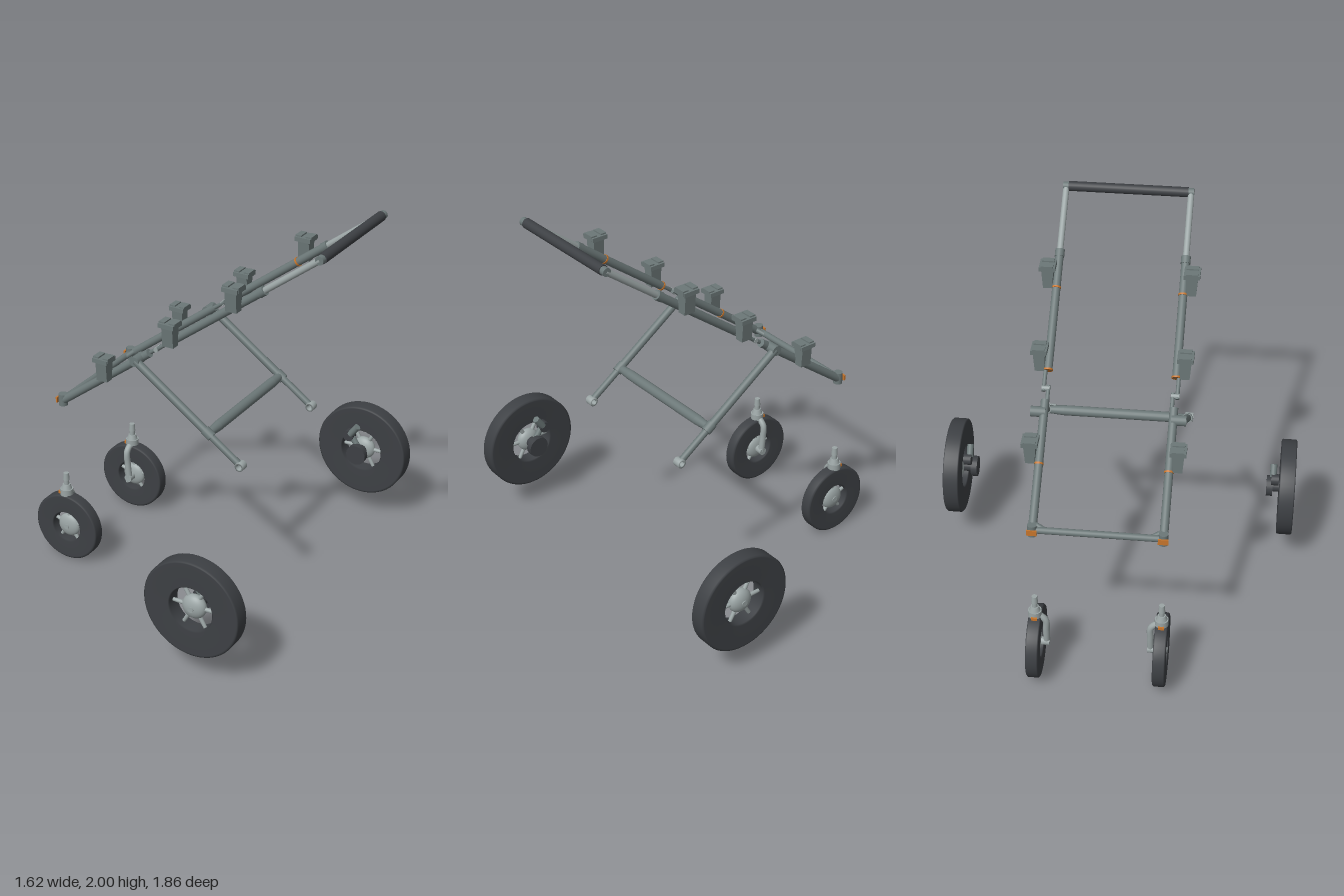
import * as THREE from 'three';

const mat = (name, color) => {
  const m = new THREE.MeshStandardMaterial({ color });
  m.name = name;
  return m;
};

export function createModel() {
  const model = new THREE.Group();
  model.name = 'strollerParts';
  const frame = mat('frameGrey', 0x6c7878);
  const light = mat('lightMetal', 0x9ba5a5);
  const dark = mat('darkRubber', 0x3d4044);
  const orange = mat('orangeAccent', 0xc8762c);

  const add = (name, geo, material, x = 0, y = 0, z = 0, parent = model) => {
    const m = new THREE.Mesh(geo, material);
    m.name = name;
    m.position.set(x, y, z);
    parent.add(m);
    return m;
  };
  // Tube between two points
  const rod = (name, a, b, r, material, r2 = r, parent = model) => {
    const p = new THREE.Vector3(...a), q = new THREE.Vector3(...b);
    const d = q.clone().sub(p);
    const m = add(name, new THREE.CylinderGeometry(r2, r, d.length(), 20), material, 0, 0, 0, parent);
    m.position.copy(p).add(q).multiplyScalar(0.5);
    m.quaternion.setFromUnitVectors(new THREE.Vector3(0, 1, 0), d.normalize());
    return m;
  };
  const box = (name, w, h, d, material, x, y, z, parent) =>
    add(name, new THREE.BoxGeometry(w, h, d), material, x, y, z, parent);

  // Point on the sloping side rail
  const rail = (x, z) => [x, 0.91 + (x + 0.64) * 0.75, z];

  // Tyre ring with a hub, spokes and rim, axle along z
  const wheel = (name, x, y, z, R, hole, half, spokes) => {
    const g = new THREE.Group();
    g.name = name;
    g.position.set(x, y, z);
    model.add(g);
    const b = 0.006;
    const profile = [
      [hole, -half + b], [hole + b, -half], [R - 2 * b, -half], [R - b, -half], [R, -half + b],
      [R, half - b], [R - b, half], [R - 2 * b, half], [hole + b, half], [hole, half - b], [hole, -half + b],
    ].map(p => new THREE.Vector2(...p));
    add('tyre', new THREE.LatheGeometry(profile, 56).rotateX(Math.PI / 2), dark, 0, 0, 0, g);
    add('hub', new THREE.SphereGeometry(0.063, 28, 18).scale(1, 1, (half - 0.003) / 0.063), light, 0, 0, 0, g);
    rod('axleBoss', [0, 0, -half], [0, 0, half], 0.015, light, 0.015, g);
    for (let i = 0; i < spokes; i++) {
      const a = Math.PI / (spokes === 5 ? 2 : 1) + (i * 2 * Math.PI) / spokes;
      const c = Math.cos(a), s = Math.sin(a);
      rod('spoke', [c * 0.045, s * 0.045, 0], [c * (hole + 0.006), s * (hole + 0.006), 0], 0.011, light, 0.009, g);
    }
  };

  // Clip with a notched, stepped head
  const clip = (x, y, s) => {
    const g = new THREE.Group();
    g.name = 'seatClip';
    g.position.set(x, y, s * 0.355);
    model.add(g);
    const shape = new THREE.Shape();
    [[-0.03, 0], [0.03, 0], [0.03, 0.1], [0.043, 0.105], [0.043, 0.13], [0.012, 0.13],
      [0.012, 0.115], [-0.012, 0.115], [-0.012, 0.13], [-0.043, 0.13], [-0.043, 0.105], [-0.03, 0.1]]
      .forEach(([px, py], i) => (i ? shape.lineTo(px, py) : shape.moveTo(px, py)));
    const geo = new THREE.ExtrudeGeometry(shape, { depth: 0.06, bevelEnabled: false });
    geo.translate(0, 0, -0.03);
    // taper the body towards its foot
    const pos = geo.attributes.position;
    for (let i = 0; i < pos.count; i++) if (pos.getY(i) < 0.05) pos.setZ(i, pos.getZ(i) * 0.75);
    geo.computeVertexNormals();
    add('clipBody', geo, frame, 0, 0, 0, g);
    box('clipHead', 0.085, 0.022, 0.08, frame, 0, 0.112, 0, g);
  };

  for (const s of [1, -1]) {
    const z = s * 0.313;

    // Side rails and the folding link
    rod('lowerRail', rail(-0.64, z), rail(-0.12, z), 0.021, frame);
    rod('upperRail', rail(0, z), rail(0.5, z), 0.021, frame);
    rod('railCollar', rail(0.475, z), rail(0.505, z), 0.024, frame);
    rod('handleRail', rail(0.5, z), rail(0.78, z), 0.016, light);
    rod('foldLinkInner', rail(-0.13, s * 0.303), rail(-0.06, s * 0.303), 0.01, frame);
    rod('foldLinkOuter', rail(-0.085, s * 0.325), rail(0.01, s * 0.325), 0.01, frame);
    rod('foldPin', rail(-0.072, s * 0.295), rail(-0.072, s * 0.336), 0.012, light);

    // Front corner socket
    rod('cornerSocket', [-0.64, 0.885, z], [-0.64, 0.947, z], 0.023, frame);
    box('cornerButton', 0.008, 0.03, 0.05, orange, -0.664, 0.915, z);
    rod('cornerBrace', [-0.635, 0.915, s * 0.255], [-0.615, 0.93, s * 0.3], 0.013, frame);

    // Clips and their orange bands
    for (const [x, y] of [[0.363, 1.65], [0.022, 1.39], [-0.358, 1.115]]) {
      clip(x, y, s);
      rod('clipBand', rail(x - 0.022, z), rail(x - 0.015, z), 0.0235, orange);
    }

    // Rear leg with pivot and axle eye
    const zl = s * 0.36;
    rod('rearLeg', [-0.17, 1.265, zl], [0.25, 0.97, zl], 0.02, frame);
    rod('rearLegLower', [0.24, 0.977, zl], [0.405, 0.862, zl], 0.017, frame);
    rod('legSleeve', [0.215, 0.995, zl], [0.255, 0.967, zl], 0.025, frame);
    rod('legPivot', [-0.17, 1.265, s * 0.305], [-0.17, 1.265, s * 0.377], 0.026, frame);
    const eye = [[0.014, -0.02], [0.023, -0.02], [0.023, 0.02], [0.014, 0.02], [0.014, -0.02]]
      .map(p => new THREE.Vector2(...p));
    add('axleEye', new THREE.LatheGeometry(eye, 24).rotateX(Math.PI / 2), light, 0.415, 0.855, zl);
    rod('crossbarEnd', [0.235, 0.98, s * 0.27], [0.235, 0.98, s * 0.355], 0.026, frame, 0.019);

    // Front caster
    wheel('casterWheel', -0.63, 0.185, s * 0.313, 0.185, 0.082, 0.031, 5);
    rod('casterCollar', [-0.64, 0.365, z], [-0.64, 0.4, z], 0.034, light);
    rod('casterCone', [-0.64, 0.4, z], [-0.64, 0.425, z], 0.028, light, 0.02);
    rod('casterStem', [-0.64, 0.42, z], [-0.64, 0.46, z], 0.014, light);
    rod('casterTip', [-0.64, 0.45, z], [-0.64, 0.49, z], 0.017, light, 0.014);
    box('casterButton', 0.03, 0.014, 0.03, orange, -0.668, 0.372, z);
    const arm = new THREE.CatmullRomCurve3([
      new THREE.Vector3(-0.64, 0.375, s * 0.3), new THREE.Vector3(-0.642, 0.34, s * 0.262),
      new THREE.Vector3(-0.638, 0.27, s * 0.259), new THREE.Vector3(-0.63, 0.185, s * 0.26),
    ]);
    add('casterFork', new THREE.TubeGeometry(arm, 20, 0.017, 12), light);
    rod('forkHub', [-0.63, 0.185, s * 0.245], [-0.63, 0.185, s * 0.31], 0.021, light);

    // Rear wheel with brake drum and lock knob on the inner side
    const wx = 0.475, wy = 0.385;
    wheel('rearWheel', wx, wy, s * 0.89, 0.255, 0.115, 0.041, 6);
    rod('brakeDrum', [wx, wy, s * 0.782], [wx, wy, s * 0.815], 0.055, dark);
    rod('brakeAxle', [wx, wy, s * 0.81], [wx, wy, s * 0.88], 0.03, dark);
    rod('brakeArm', [wx, wy + 0.02, s * 0.825], [0.42, 0.485, s * 0.825], 0.016, frame);
    rod('brakeKnob', [0.415, 0.475, s * 0.805], [0.415, 0.475, s * 0.845], 0.03, dark);
    rod('brakeLever', [0.425, 0.485, s * 0.815], [0.465, 0.54, s * 0.815], 0.018, frame);
  }

  // Cross members and handle
  rod('frontCrossbar', [-0.64, 0.915, -0.31], [-0.64, 0.915, 0.31], 0.017, frame);
  rod('rearCrossbar', [0.235, 0.98, -0.27], [0.235, 0.98, 0.27], 0.026, frame);
  rod('handleGrip', [0.78, 1.975, -0.3], [0.78, 1.975, 0.3], 0.025, dark);
  for (const s of [1, -1]) rod('handleEnd', [0.78, 1.975, s * 0.295], [0.78, 1.975, s * 0.328], 0.021, frame);

  return model;
}
